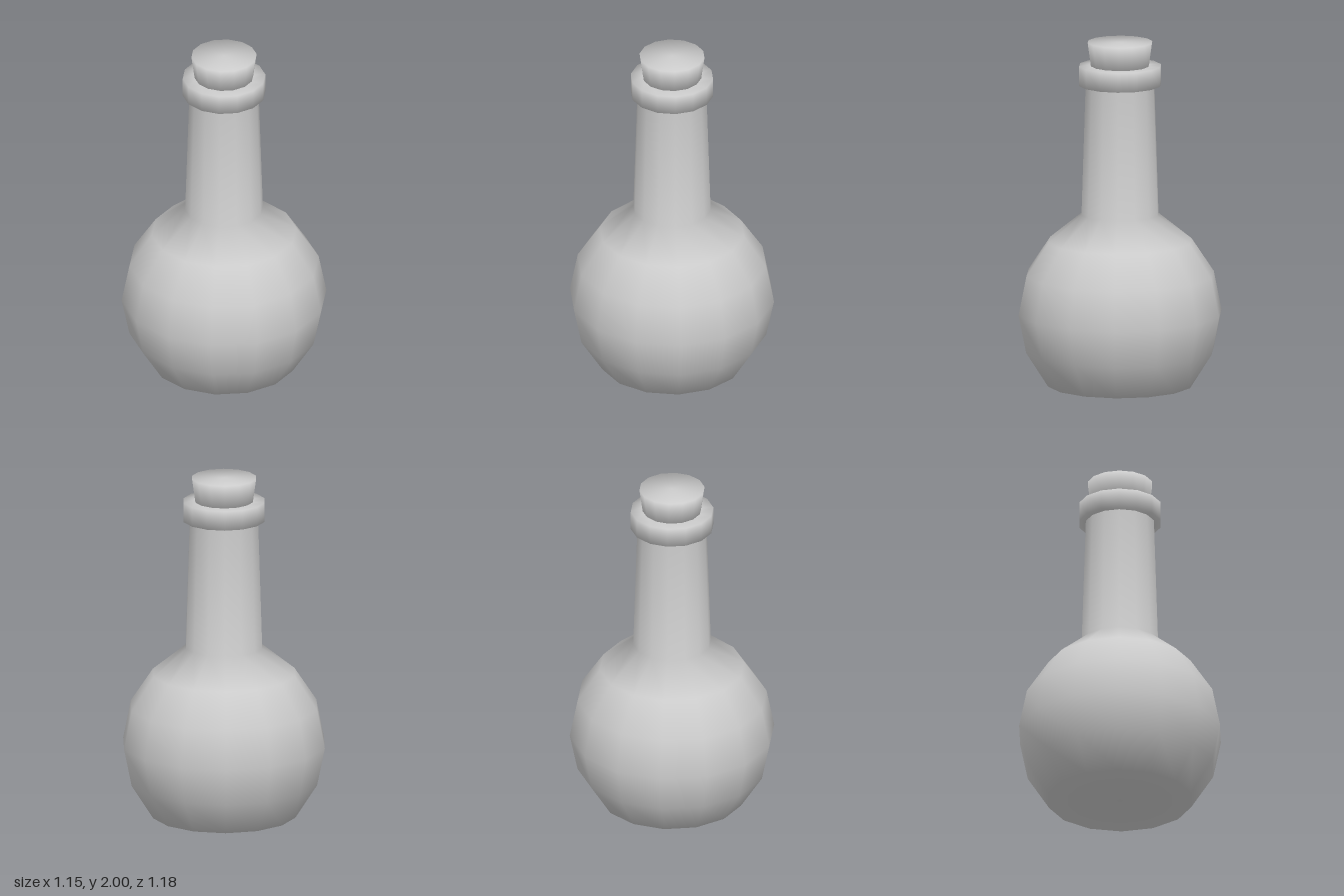
import * as THREE from 'three';

const SIDES = 14;
const material = new THREE.MeshStandardMaterial({ color: 0xcccccc });

// Smooth turned part from a [radius, height] profile, listed bottom to top
function turned(name, profile) {
  const points = profile.map(([r, y]) => new THREE.Vector2(r, y));
  const mesh = new THREE.Mesh(new THREE.LatheGeometry(points, SIDES), material);
  mesh.name = name;
  return mesh;
}

export function createModel() {
  const group = new THREE.Group();
  group.name = 'flask';

  // Round belly with a flat base, running into the tapered neck
  group.add(turned('bottleBody', [
    [0, 0], [0.418, 0], [0.545, 0.2], [0.59, 0.42], [0.545, 0.645],
    [0.416, 0.84], [0.224, 0.995], [0.2, 1.75],
  ]));

  // Collar around the mouth
  group.add(turned('rim', [
    [0.16, 1.75], [0.238, 1.75], [0.238, 1.863], [0.16, 1.863],
  ]));

  // Cork, widening towards its top
  group.add(turned('cork', [
    [0, 1.84], [0.166, 1.84], [0.188, 2], [0, 2],
  ]));

  return group;
}
